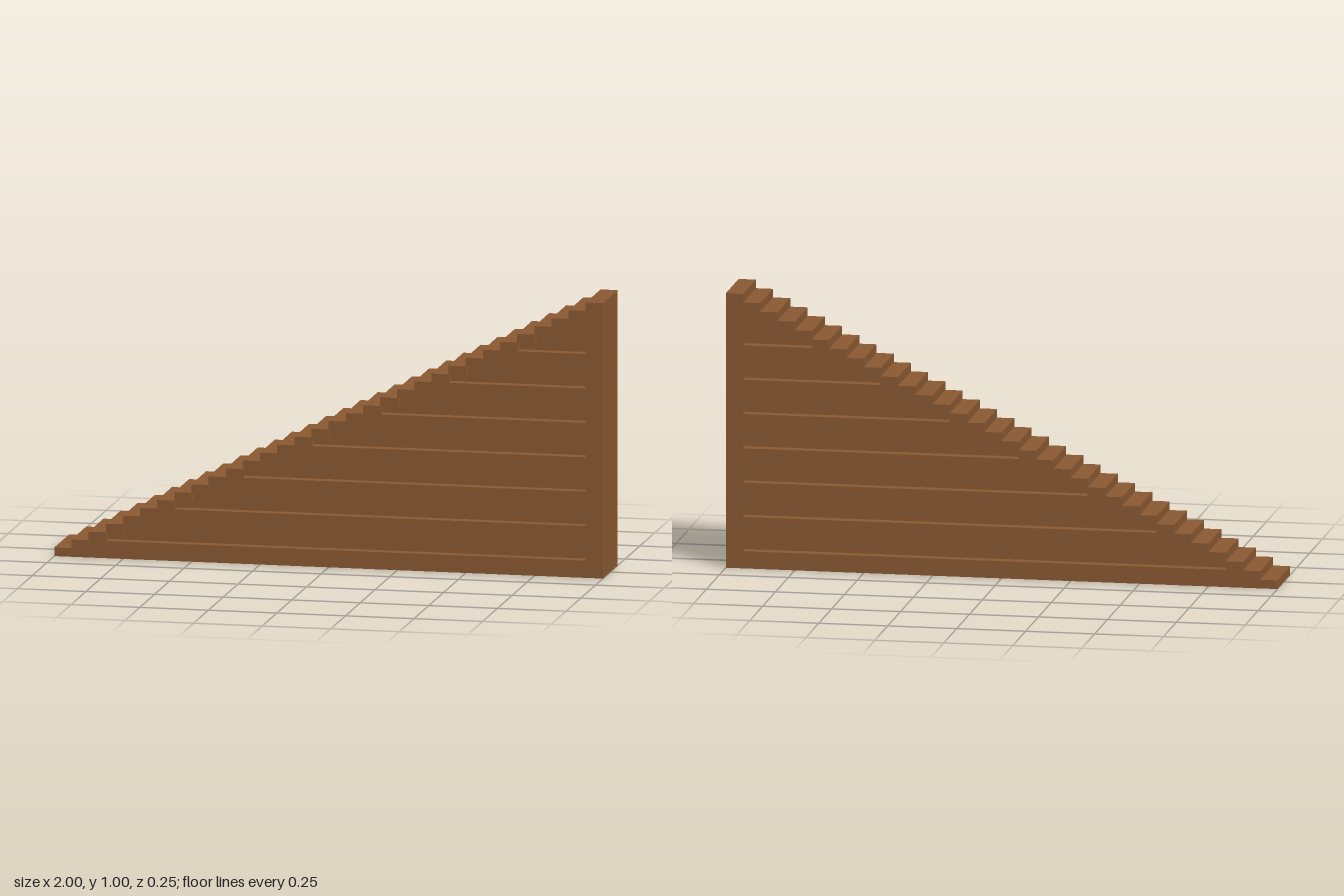
import * as THREE from 'three';

const STEPS = 32;
const RUN = 2 / STEPS;    // depth of one tread
const RISE = 1 / STEPS;   // height of one riser
const HALF = 0.125;       // half of the stair width
const GROOVE = 0.04;      // groove depth in each side

// Stepped triangular outline
function stairPoints() {
  const pts = [[-1, 0], [1, 0], [1, 1]];
  for (let i = STEPS - 1; i >= 0; i--) {
    const x = -1 + i * RUN;
    pts.push([x, (i + 1) * RISE]);
    if (i > 0) pts.push([x, i * RISE]);
  }
  return pts.map(([x, y]) => new THREE.Vector2(x, y));
}

// Long horizontal slot whose outer end steps up under the treads
function groovePath(k) {
  const gap = 0.0015; // keeps the slot corners just off the step corners
  const x0 = -1 + (3 + 4 * k) * RUN + gap;
  const x1 = x0 + RUN;
  const right = 1 - RUN;
  const y0 = (2 + 4 * k) * RISE;
  const pts = [
    [x0, y0], [x0, y0 + RISE], [x1, y0 + RISE],
    [x1, y0 + 2 * RISE], [right, y0 + 2 * RISE], [right, y0],
  ];
  return new THREE.Path(pts.map(([x, y]) => new THREE.Vector2(x, y)));
}

function addSlab(group, name, shape, z, depth, material) {
  const geometry = new THREE.ExtrudeGeometry(shape, { depth, bevelEnabled: false });
  const mesh = new THREE.Mesh(geometry, material);
  mesh.name = name;
  mesh.position.z = z;
  group.add(mesh);
}

export function createModel() {
  const group = new THREE.Group();
  group.name = 'staircase';
  const wood = new THREE.MeshStandardMaterial({ color: 0x8b5a32 });
  wood.name = 'brown wood';

  // Solid middle of the stairs
  addSlab(group, 'stairCore', new THREE.Shape(stairPoints()), -HALF + GROOVE, 2 * (HALF - GROOVE), wood);

  // Grooved panels on both sides
  const panel = new THREE.Shape(stairPoints());
  for (let k = 0; k < 7; k++) panel.holes.push(groovePath(k));
  addSlab(group, 'frontGroovedPanel', panel, HALF - GROOVE, GROOVE, wood);
  addSlab(group, 'backGroovedPanel', panel, -HALF, GROOVE, wood);

  return group;
}
